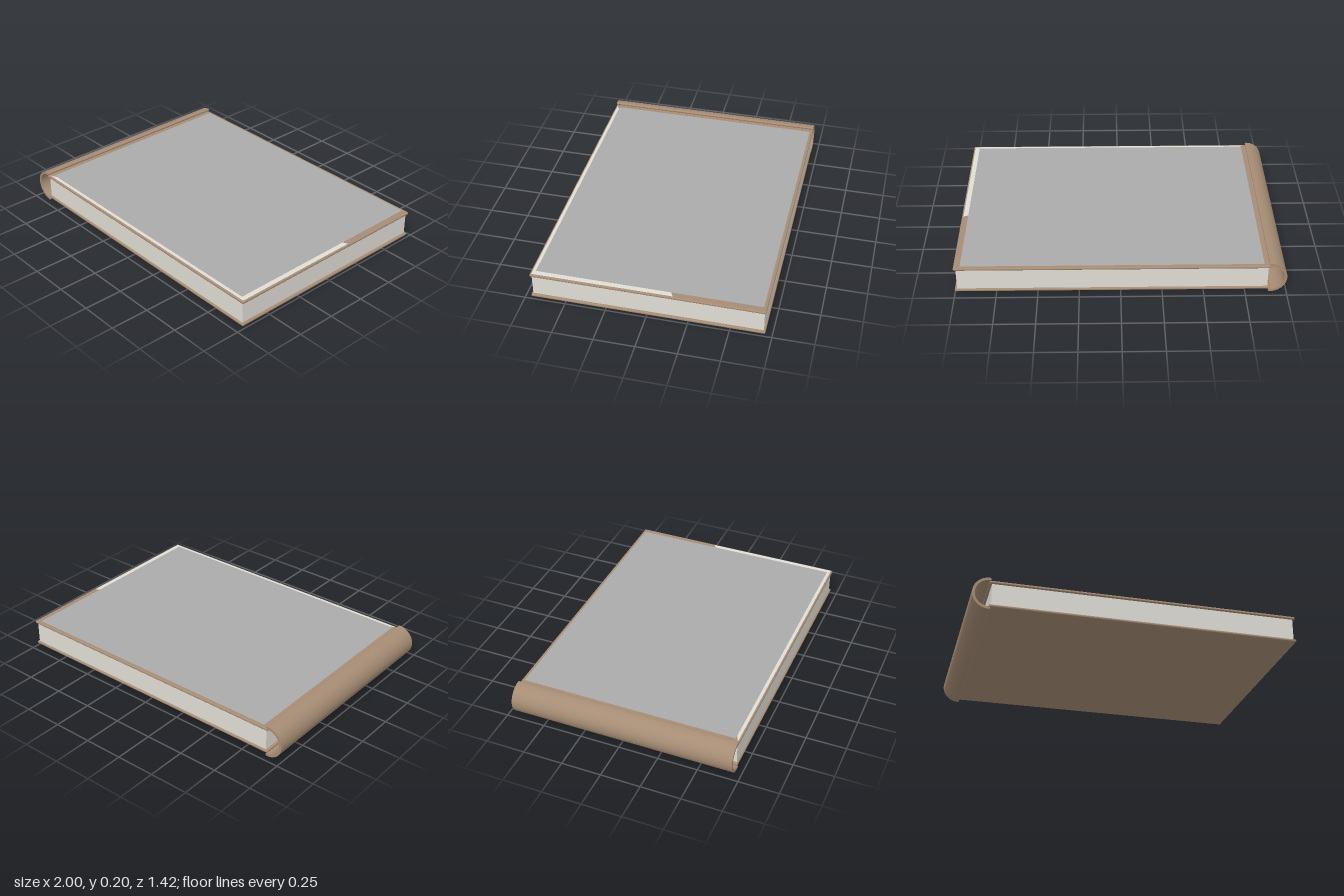
import * as THREE from 'three';
import { RoundedBoxGeometry } from 'three/addons/geometries/RoundedBoxGeometry.js';

export function createModel() {
  const book = new THREE.Group();
  book.name = 'book';
  const material = (color) => new THREE.MeshStandardMaterial({ color });
  const leather = material(0xa68c74);
  const paper = material(0xe0ddd6);
  const panelGrey = material(0xaaaaaa);

  const add = (name, geometry, mat, x = 0, y = 0, z = 0) => {
    const mesh = new THREE.Mesh(geometry, mat);
    mesh.name = name;
    mesh.position.set(x, y, z);
    book.add(mesh);
    return mesh;
  };

  const depth = 1.42;
  const midY = 0.104;

  // Two boards with softly rounded edges
  for (const [name, side] of [['backCover', -1], ['frontCover', 1]]) {
    add(name, new RoundedBoxGeometry(1.9, 0.018, depth, 3, 0.008), leather, 0.05, midY + side * 0.077);
  }

  // Page block
  add('pages', new THREE.BoxGeometry(1.87, 0.142, 1.4), paper, 0.05, midY);

  // Half-tube spine, open towards the pages, with rounded lips
  const outer = 0.102, inner = 0.086;
  const mid = (outer + inner) / 2, lip = (outer - inner) / 2;
  const section = new THREE.Shape();
  section.absarc(0, 0, outer, Math.PI / 2, Math.PI * 1.5, false);
  section.absarc(0, -mid, lip, -Math.PI / 2, Math.PI / 2, false);
  section.absarc(0, 0, inner, Math.PI * 1.5, Math.PI / 2, true);
  section.absarc(0, mid, lip, -Math.PI / 2, Math.PI / 2, false);
  const spine = new THREE.ExtrudeGeometry(section, { depth, bevelEnabled: false, curveSegments: 24 });
  spine.translate(0, 0, -depth / 2);
  add('spine', spine, leather, -0.898, midY);

  // Loose leaf showing across the front corner of the cover
  const leaf = new THREE.Shape([
    new THREE.Vector2(-0.88, -0.7),
    new THREE.Vector2(0.99, -0.7),
    new THREE.Vector2(0.99, 0.16),
  ]);
  add('looseLeaf', new THREE.ShapeGeometry(leaf).rotateX(-Math.PI / 2), paper, 0, 0.1908);

  // Inset grey panel on the cover
  const panel = new THREE.PlaneGeometry(1.82, 1.37).rotateX(-Math.PI / 2);
  add('coverPanel', panel, panelGrey, 0.05, 0.1925, -0.005);

  return book;
}
